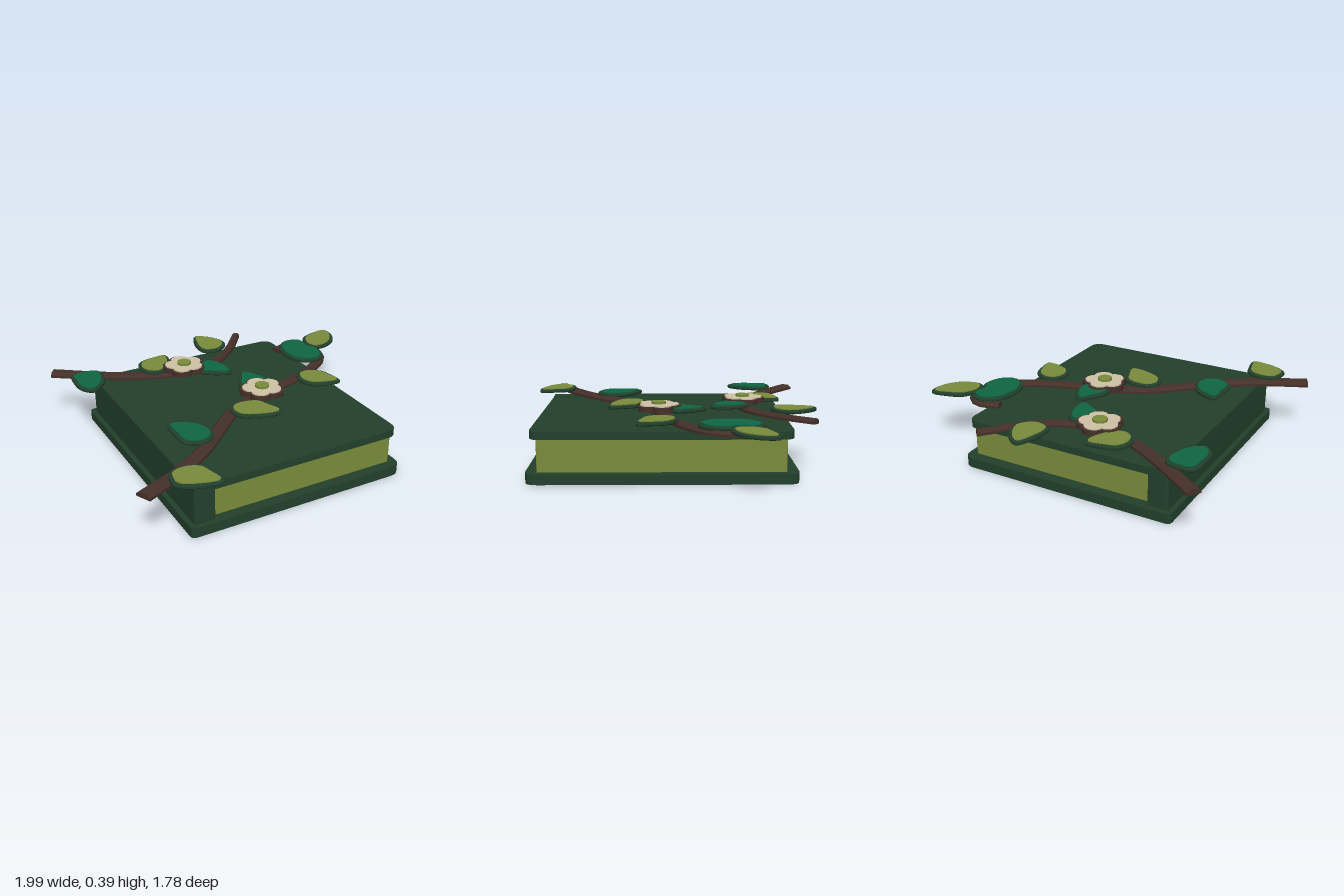
import * as THREE from 'three';

const mat = (name, color, side = THREE.FrontSide) => {
  const m = new THREE.MeshStandardMaterial({ color, side });
  m.name = name;
  return m;
};

export function createModel() {
  const coverGreen = mat('cover green', 0x22402c);
  const olive = mat('olive', 0x7a8c3c);
  const emerald = mat('emerald', 0x0e6643);
  const bark = mat('bark brown', 0x453029);
  const cream = mat('cream', 0xcec2a5);
  const model = new THREE.Group();
  model.name = 'book';

  const add = (parent, name, geometry, material) => {
    const mesh = new THREE.Mesh(geometry, material);
    mesh.name = name;
    parent.add(mesh);
    return mesh;
  };

  // Horizontal slab from y0 to y1 over an outline of Vector2(x, -z)
  const slab = (parent, name, shape, y0, y1, material, bevel = 0) => {
    const g = new THREE.ExtrudeGeometry(shape, {
      depth: y1 - y0 - bevel * 2, curveSegments: 6, bevelEnabled: bevel > 0,
      bevelThickness: bevel, bevelSize: bevel, bevelOffset: -bevel, bevelSegments: 1,
    });
    g.rotateX(-Math.PI / 2).translate(0, y0 + bevel, 0);
    return add(parent, name, g, material);
  };

  // Rectangle with separate corner radii on the spine side and the opening side
  const board = (x0, x1, z0, z1, rSpine, rOpen) => {
    const s = new THREE.Shape();
    const a = -z1, b = -z0;
    s.moveTo(x0 + rSpine, a);
    s.lineTo(x1 - rOpen, a);
    s.quadraticCurveTo(x1, a, x1, a + rOpen);
    s.lineTo(x1, b - rOpen);
    s.quadraticCurveTo(x1, b, x1 - rOpen, b);
    s.lineTo(x0 + rSpine, b);
    s.quadraticCurveTo(x0, b, x0, b - rSpine);
    s.lineTo(x0, a + rSpine);
    s.quadraticCurveTo(x0, a, x0 + rSpine, a);
    return s;
  };

  // Book body
  slab(model, 'backCover', board(-0.74, 0.63, -0.725, 0.82, 0.03, 0.075), 0, 0.06, coverGreen);
  slab(model, 'spine', board(-0.71, -0.59, -0.695, 0.795, 0.02, 0.002), 0.06, 0.3, coverGreen);
  slab(model, 'frontCover', board(-0.59, 0.6, -0.695, 0.795, 0.002, 0.07), 0.25, 0.295, coverGreen);
  slab(model, 'pages', board(-0.59, 0.58, -0.655, 0.755, 0.002, 0.01), 0.06, 0.25, olive);

  // Tapered branch: a bevelled cross-section swept along a flat curve
  const branch = (name, points, w0, w1) => {
    const curve = new THREE.CatmullRomCurve3(points.map(([x, z]) => new THREE.Vector3(x, 0, z)));
    const profile = [[-1, 0.302], [-1, 0.318], [-0.55, 0.333], [0.55, 0.333], [1, 0.318], [1, 0.302]];
    const steps = 44, n = profile.length, pos = [], idx = [];
    for (let i = 0; i <= steps; i++) {
      const p = curve.getPointAt(i / steps), t = curve.getTangentAt(i / steps);
      const w = (w0 + (w1 - w0) * i / steps) / 2;
      for (const [s, y] of profile) pos.push(p.x - t.z * s * w, y, p.z + t.x * s * w);
    }
    for (let i = 0; i < steps; i++) {
      for (let j = 0; j < n; j++) {
        const a = i * n + j, b = i * n + (j + 1) % n;
        idx.push(a, b, a + n, b, b + n, a + n);
      }
    }
    const last = steps * n;
    for (let j = 1; j < n - 1; j++) idx.push(0, j + 1, j, last, last + j, last + j + 1);
    let g = new THREE.BufferGeometry();
    g.setAttribute('position', new THREE.Float32BufferAttribute(pos, 3));
    g.setIndex(idx);
    g = g.toNonIndexed();
    g.computeVertexNormals();
    add(model, name, g, bark);
  };
  branch('upperBranch', [[-0.925, -0.85], [-0.7, -0.69], [-0.45, -0.54], [-0.22, -0.465],
    [-0.05, -0.465], [0.1, -0.52], [0.27, -0.66], [0.42, -0.84]], 0.085, 0.05);
  branch('lowerBranch', [[-0.98, 0.77], [-0.72, 0.645], [-0.5, 0.495], [-0.31, 0.32], [-0.13, 0.165],
    [0.11, 0.055], [0.35, -0.01], [0.59, -0.115], [0.73, -0.23], [0.765, -0.36], [0.72, -0.465],
    [0.64, -0.5], [0.53, -0.47]], 0.092, 0.06);

  // Leaf: bevelled dark rim with an inset coloured face
  const leaf = (name, material, points, lift = 0) => {
    const group = new THREE.Group();
    group.name = name;
    model.add(group);
    const curve = new THREE.CatmullRomCurve3(points.map(([x, z]) => new THREE.Vector3(x, -z, 0)), true);
    const outline = curve.getSpacedPoints(40).slice(0, 40).map((p) => new THREE.Vector2(p.x, p.y));
    const c = outline.reduce((s, p) => s.add(p), new THREE.Vector2()).divideScalar(40);
    const inset = outline.map((p) => {
      const d = p.clone().sub(c);
      return c.clone().addScaledVector(d, 1 - 0.021 / d.length());
    });
    slab(group, 'rim', new THREE.Shape(outline), 0.328 + lift, 0.35 + lift, coverGreen, 0.005);
    slab(group, 'face', new THREE.Shape(inset), 0.349 + lift, 0.356 + lift, material);
  };
  leaf('leafUpperLeft', emerald, [[-0.85, -0.69], [-0.77, -0.71], [-0.68, -0.68], [-0.67, -0.6],
    [-0.71, -0.49], [-0.8, -0.42], [-0.86, -0.48], [-0.87, -0.59]]);
  leaf('leafBehindBlossom', olive, [[-0.43, -0.59], [-0.39, -0.67], [-0.29, -0.7], [-0.2, -0.7],
    [-0.2, -0.62], [-0.26, -0.51], [-0.34, -0.47], [-0.41, -0.51]]);
  leaf('leafBelowBlossom', emerald, [[0.01, -0.49], [0.06, -0.44], [0.09, -0.34], [0.07, -0.25],
    [-0.02, -0.28], [-0.1, -0.34], [-0.12, -0.4], [-0.07, -0.46]]);
  leaf('leafTop', olive, [[0.12, -0.89], [0.19, -0.85], [0.25, -0.75], [0.25, -0.68],
    [0.17, -0.61], [0.07, -0.63], [0.05, -0.69], [0.07, -0.8]]);
  leaf('leafCurl', emerald, [[0.54, -0.44], [0.6, -0.5], [0.66, -0.515], [0.73, -0.48], [0.73, -0.37],
    [0.76, -0.32], [0.75, -0.23], [0.7, -0.16], [0.62, -0.15], [0.54, -0.21], [0.51, -0.32]], 0.002);
  leaf('leafFarRight', olive, [[0.98, -0.56], [0.88, -0.55], [0.78, -0.51], [0.73, -0.4],
    [0.76, -0.33], [0.83, -0.32], [0.93, -0.37], [0.99, -0.48]]);
  leaf('leafAboveBlossom', emerald, [[0.13, -0.22], [0.19, -0.15], [0.22, -0.05], [0.17, 0.04],
    [0.06, 0.04], [0.02, -0.05], [0.07, -0.15]]);
  leaf('leafRight', olive, [[0.39, 0.06], [0.43, -0.03], [0.51, -0.04], [0.58, 0.01],
    [0.61, 0.11], [0.61, 0.19], [0.54, 0.19], [0.43, 0.15]]);
  leaf('leafMiddle', olive, [[-0.19, 0.22], [-0.15, 0.16], [-0.06, 0.15], [0.02, 0.18],
    [0.06, 0.27], [0.08, 0.37], [0.01, 0.38], [-0.1, 0.35], [-0.17, 0.3]]);
  leaf('leafLeft', emerald, [[-0.58, 0.19], [-0.5, 0.21], [-0.43, 0.26], [-0.39, 0.36],
    [-0.42, 0.45], [-0.5, 0.48], [-0.59, 0.43], [-0.6, 0.3]]);
  leaf('leafLowerLeft', olive, [[-0.82, 0.74], [-0.79, 0.67], [-0.69, 0.65], [-0.61, 0.69],
    [-0.58, 0.78], [-0.575, 0.88], [-0.66, 0.88], [-0.77, 0.84], [-0.82, 0.79]]);

  // Five-petal blossom: brown rim, cream petals, olive button
  const petals = (r) => {
    const pts = [];
    for (let i = 0; i < 80; i++) {
      const a = i / 80 * Math.PI * 2;
      const k = r * (0.77 + 0.23 * Math.pow(Math.abs(Math.cos(2.5 * a)), 0.7));
      pts.push(new THREE.Vector2(-Math.sin(a) * k, Math.cos(a) * k));
    }
    return new THREE.Shape(pts);
  };
  for (const [name, x, z] of [['upperBlossom', -0.165, -0.465], ['lowerBlossom', 0.11, 0.07]]) {
    const group = new THREE.Group();
    group.name = name;
    group.position.set(x, 0, z);
    model.add(group);
    slab(group, 'petalRim', petals(0.139), 0.333, 0.365, bark);
    slab(group, 'petals', petals(0.123), 0.364, 0.372, cream);
    add(group, 'button', new THREE.CylinderGeometry(0.044, 0.044, 0.016, 24), olive).position.y = 0.378;
  }
  return model;
}
